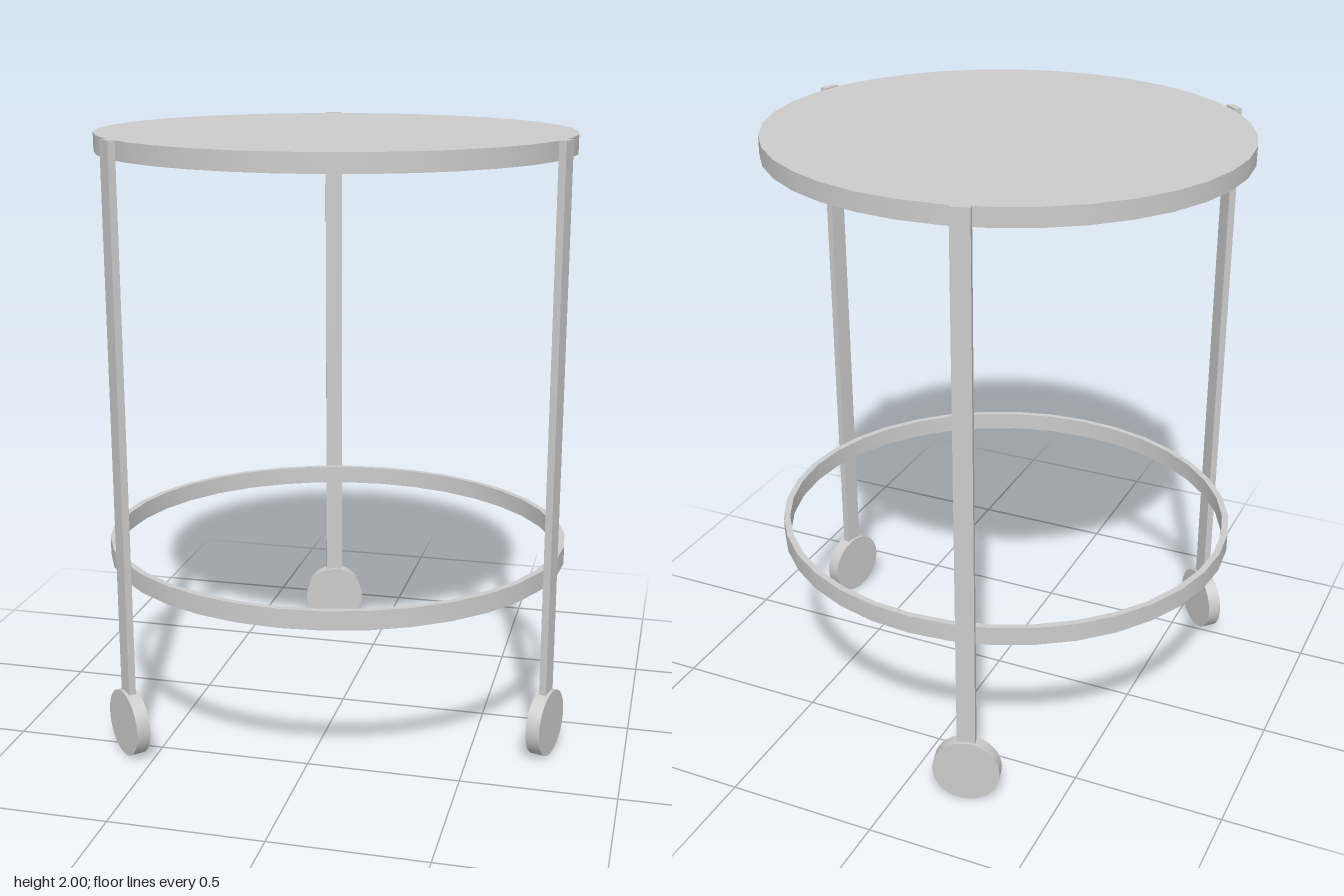
import * as THREE from 'three';
import { toCreasedNormals } from 'three/addons/utils/BufferGeometryUtils.js';

const RX = 0.777, RZ = 0.75; // slightly oval top
const CX = -0.02, CZ = 0.018; // centre of the top

export function createModel() {
  const group = new THREE.Group();
  const material = new THREE.MeshStandardMaterial({ color: 0xcccccc });

  const add = (parent, name, geometry, x, y, z) => {
    const mesh = new THREE.Mesh(geometry, material);
    mesh.name = name;
    mesh.position.set(x, y, z);
    parent.add(mesh);
    return mesh;
  };

  // Solid table top
  const topGeometry = new THREE.CylinderGeometry(1, 1, 0.06, 36);
  topGeometry.scale(RX, 1, RZ);
  add(group, 'tableTop', topGeometry, CX, 1.97, CZ);

  // Lower hoop: a thin rectangular band swept around the same oval
  const inner = 0.972, half = 0.031;
  const band = [[inner, -half], [1, -half], [1, half], [inner, half], [inner, -half]]
    .map(([r, y]) => new THREE.Vector2(r, y));
  const hoopGeometry = new THREE.LatheGeometry(band, 36);
  hoopGeometry.scale(RX, 1, RZ);
  add(group, 'lowerHoop', toCreasedNormals(hoopGeometry, Math.PI / 5), CX + 0.004, 0.615, CZ);

  // Three flat legs, each ending in a disc-shaped wheel that faces outward
  const legGeometry = new THREE.BoxGeometry(0.06, 1.8, 0.024);
  const wheelGeometry = new THREE.CylinderGeometry(0.11, 0.11, 0.046, 36);
  wheelGeometry.rotateX(Math.PI / 2);

  const legs = [
    { name: 'left', x: 0.739, z: 0.236, angle: 15 },
    { name: 'right', x: -0.592, z: 0.551, angle: 135 },
    { name: 'back', x: -0.208, z: -0.718, angle: 255 },
  ];
  for (const { name, x, z, angle } of legs) {
    const a = THREE.MathUtils.degToRad(angle);
    const leg = new THREE.Group();
    leg.name = `${name}Leg`;
    leg.position.set(x, 0, z);
    leg.rotation.y = Math.PI / 2 - a; // local +z points outward
    add(leg, `${name}Post`, legGeometry, 0, 1.102, 0);
    add(leg, `${name}Wheel`, wheelGeometry, 0, 0.11, 0);
    group.add(leg);
  }

  return group;
}
